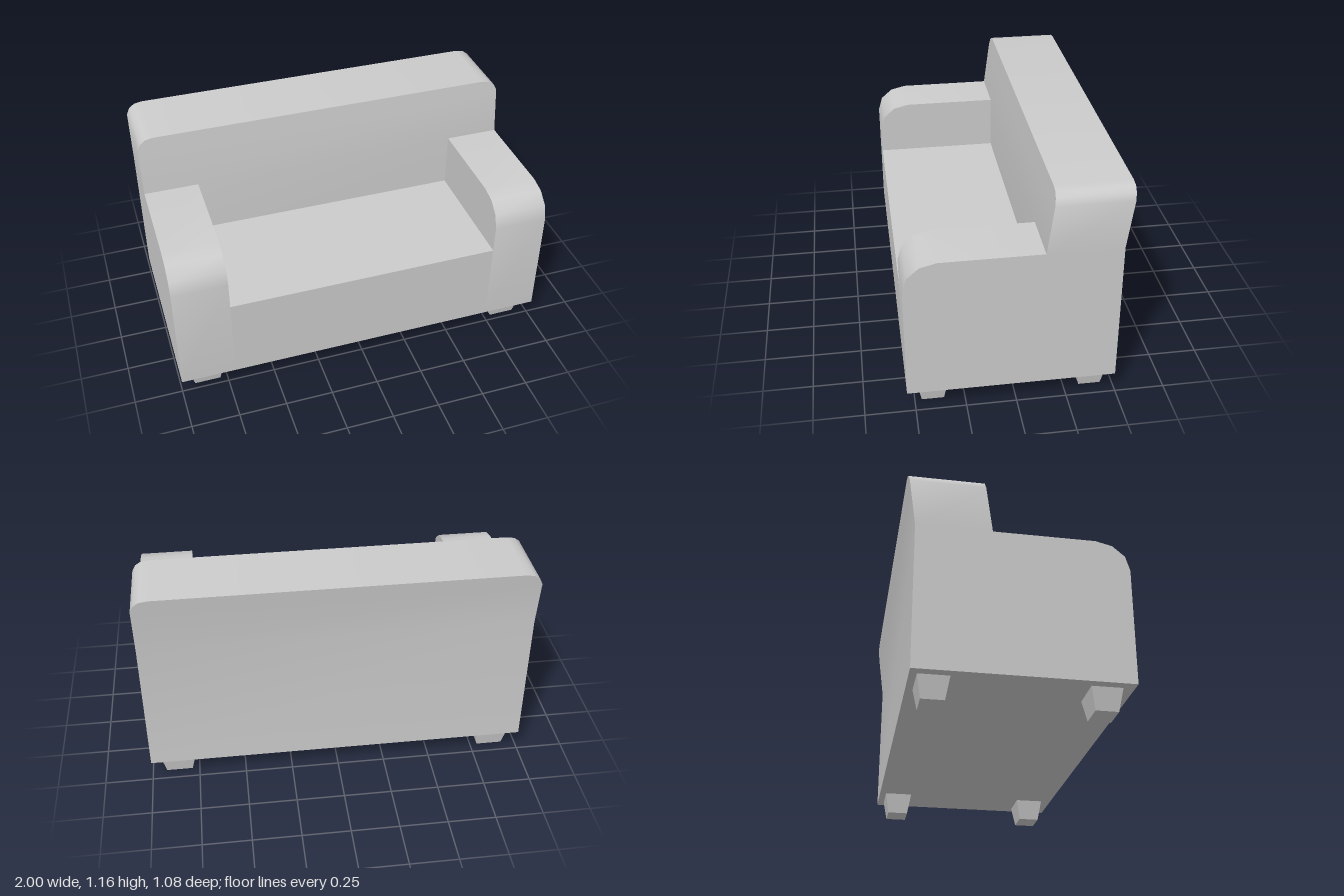
import * as THREE from 'three';
import { toCreasedNormals } from 'three/addons/utils/BufferGeometryUtils.js';

const FLOOR = 0.11, SEAT = 0.56, ARM = 0.853;   // heights
const FRONT = 0.54, BACK_FRONT = -0.125, BACK_REAR = -0.495; // depths
const ARM_W = 0.285;

export function createModel() {
  const group = new THREE.Group();
  const material = new THREE.MeshStandardMaterial({ color: 0xcccccc });
  const add = (name, geometry, x = 0, y = 0, z = 0) => {
    const mesh = new THREE.Mesh(geometry, material);
    mesh.name = name;
    mesh.position.set(x, y, z);
    group.add(mesh);
  };

  // Seat block between the arms
  const depth = FRONT - BACK_FRONT;
  add('seat', new THREE.BoxGeometry(2 - 2 * ARM_W, SEAT - FLOOR, depth),
    0, (SEAT + FLOOR) / 2, (FRONT + BACK_FRONT) / 2);

  // Arms: side profile (z, y) with a rounded front top, extruded across x
  const profile = [[BACK_FRONT, FLOOR], [FRONT, FLOOR], [FRONT, 0.705], [0.518, 0.78],
    [0.457, 0.833], [0.375, ARM], [BACK_FRONT, ARM]];
  const armShape = new THREE.Shape(profile.map(([z, y]) => new THREE.Vector2(z, y)));
  const arm = toCreasedNormals(
    new THREE.ExtrudeGeometry(armShape, { depth: ARM_W, bevelEnabled: false }).rotateY(-Math.PI / 2), 0.6);
  add('leftArm', arm, 1);
  add('rightArm', arm, -1 + ARM_W);

  // Backrest: rows of [height, half width], leaning backwards above the arms
  const rows = [[FLOOR, 1], [ARM, 1], [1.1, 1], [1.135, 0.983], [1.155, 0.955], [1.162, 0.912]];
  const back = new THREE.BoxGeometry(2, 1, 1, 1, rows.length - 1, 1);
  const pos = back.attributes.position;
  for (let i = 0; i < pos.count; i++) {
    const [y, w] = rows[Math.round((pos.getY(i) + 0.5) * (rows.length - 1))];
    const lean = Math.max(0, y - ARM) * 0.13;
    const z = pos.getZ(i) > 0 ? BACK_FRONT : BACK_REAR;
    pos.setXYZ(i, Math.sign(pos.getX(i)) * w, y, z - lean);
  }
  add('backrest', toCreasedNormals(back, 0.6));

  // Four tapered square legs
  const leg = new THREE.CylinderGeometry(Math.SQRT1_2, Math.SQRT1_2 * 0.74, FLOOR, 4)
    .rotateY(Math.PI / 4).scale(0.185, 1, 0.15);
  const legFlat = toCreasedNormals(leg, 0.3);
  for (const [side, sx] of [['Left', 1], ['Right', -1]]) {
    add('front' + side + 'Leg', legFlat, sx * 0.857, FLOOR / 2, 0.41);
    add('back' + side + 'Leg', legFlat, sx * 0.857, FLOOR / 2, -0.385);
  }
  return group;
}
